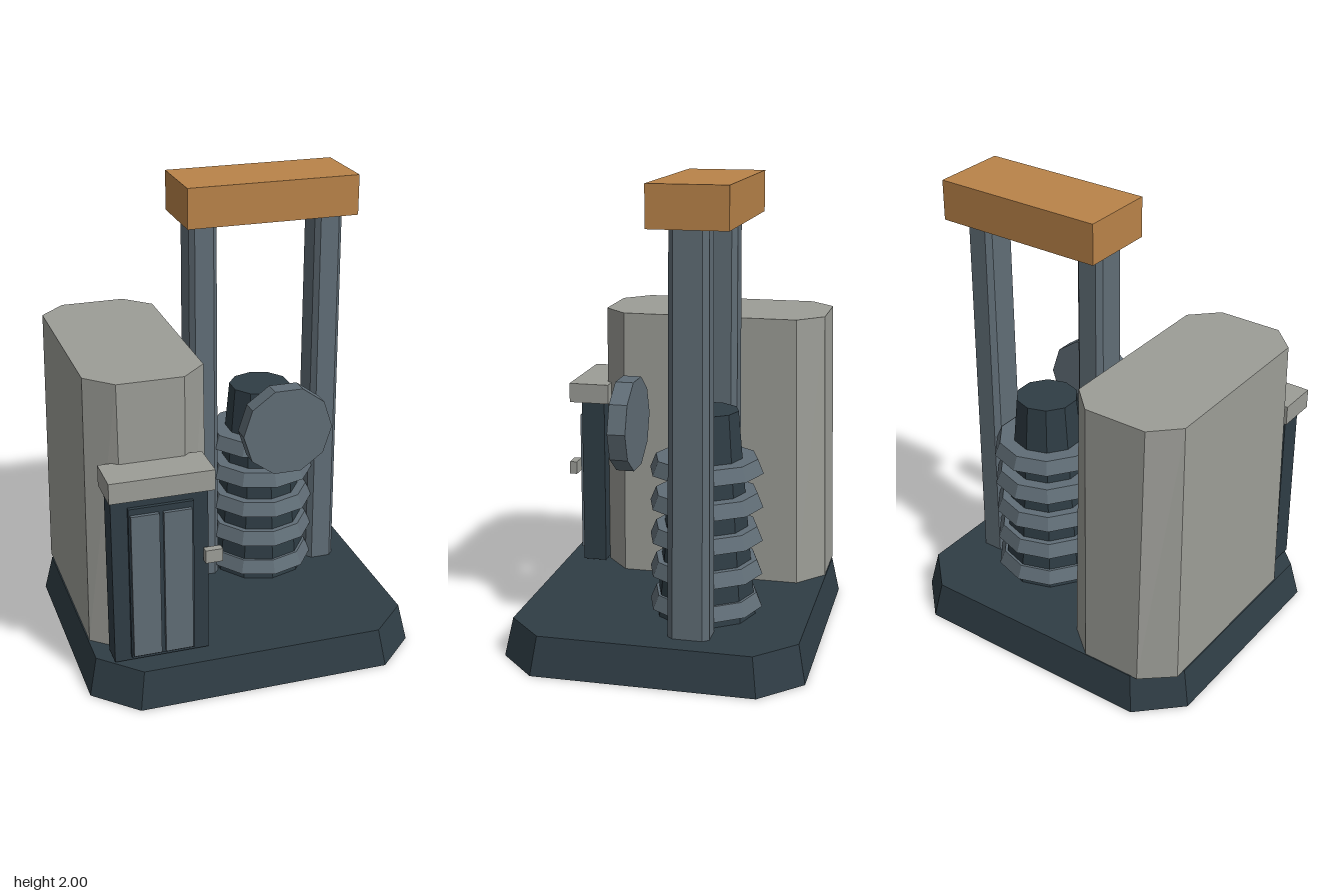
import * as THREE from 'three';

const mat = (name, color) => {
  const m = new THREE.MeshStandardMaterial({ color });
  m.name = name;
  return m;
};

// Flat facets: unshared vertices with face normals
function facet(geometry) {
  const g = geometry.index ? geometry.toNonIndexed() : geometry;
  g.computeVertexNormals();
  return g;
}

// Rectangle with cut corners, counter-clockwise seen from above
function cutRect(x0, x1, z0, z1, cx, cz) {
  return [
    [x1, z1 - cz], [x1, z0 + cz], [x1 - cx, z0], [x0 + cx, z0],
    [x0, z0 + cz], [x0, z1 - cz], [x0 + cx, z1], [x1 - cx, z1],
  ];
}

// Closed solid between two outlines at heights y0 and y1
function loft(bottom, top, y0, y1) {
  const n = bottom.length;
  const pos = [];
  const b = (i) => [bottom[i % n][0], y0, bottom[i % n][1]];
  const t = (i) => [top[i % n][0], y1, top[i % n][1]];
  for (let i = 0; i < n; i++) {
    pos.push(...b(i), ...b(i + 1), ...t(i + 1), ...b(i), ...t(i + 1), ...t(i));
    if (i > 0 && i < n - 1) {
      pos.push(...t(0), ...t(i), ...t(i + 1), ...b(0), ...b(i + 1), ...b(i));
    }
  }
  const g = new THREE.BufferGeometry();
  g.setAttribute('position', new THREE.Float32BufferAttribute(pos, 3));
  return facet(g);
}

// Box given by its limits on each axis
function box(x0, x1, y0, y1, z0, z1) {
  return new THREE.BoxGeometry(x1 - x0, y1 - y0, z1 - z0)
    .translate((x0 + x1) / 2, (y0 + y1) / 2, (z0 + z1) / 2);
}

export function createModel() {
  const model = new THREE.Group();
  model.name = 'powerStation';
  const dark = mat('darkSlate', 0x2f3d45);
  const steel = mat('steelGrey', 0x606d76);
  const pale = mat('paleGrey', 0x9c9d97);
  const copper = mat('copper', 0xb98349);

  const add = (name, geometry, material, parent = model) => {
    const mesh = new THREE.Mesh(geometry, material);
    mesh.name = name;
    parent.add(mesh);
    return mesh;
  };

  // Plinth with cut corners and sloping sides
  add('base', loft(
    cutRect(-0.72, 0.72, -0.64, 0.64, 0.175, 0.17),
    cutRect(-0.685, 0.685, -0.608, 0.608, 0.165, 0.16), 0, 0.163), dark);

  // Tall tank
  add('tank', loft(
    cutRect(-0.68, -0.157, -0.604, 0.415, 0.13, 0.11),
    cutRect(-0.667, -0.168, -0.577, 0.412, 0.11, 0.108), 0.16, 1.36), pale);

  // Control cabinet in front of the tank
  const cabinet = new THREE.Group();
  cabinet.name = 'cabinet';
  model.add(cabinet);
  add('cabinetBody', box(-0.62, -0.217, 0.175, 0.93, 0.415, 0.52), dark, cabinet);
  add('doorFrame', box(-0.552, -0.282, 0.195, 0.877, 0.515, 0.537), dark, cabinet);
  add('leftDoor', box(-0.41, -0.293, 0.207, 0.85, 0.53, 0.553), steel, cabinet);
  add('rightDoor', box(-0.546, -0.428, 0.207, 0.85, 0.53, 0.553), steel, cabinet);
  add('cabinetRoof', box(-0.637, -0.203, 0.93, 1.018, 0.392, 0.574), pale, cabinet);
  add('handle', box(-0.243, -0.17, 0.6, 0.657, 0.535, 0.568), pale, cabinet);

  // Gantry: two posts and a cross beam
  const gantry = new THREE.Group();
  gantry.name = 'gantry';
  model.add(gantry);
  for (const [name, x] of [['rightPost', -0.043], ['leftPost', 0.52]]) {
    add(name, loft(
      cutRect(x - 0.065, x + 0.065, -0.248, -0.073, 0.021, 0.025),
      cutRect(x - 0.061, x + 0.061, -0.24, -0.08, 0.02, 0.022), 0.16, 1.83), steel, gantry);
  }
  add('crossBeam', box(-0.138, 0.613, 1.828, 2, -0.328, 0), copper, gantry);

  // Insulator: tapered core with a stack of skirts
  const insulator = new THREE.Group();
  insulator.name = 'insulator';
  insulator.position.set(0.238, 0, -0.163);
  model.add(insulator);
  add('insulatorCore', facet(new THREE.CylinderGeometry(0.135, 0.215, 0.885, 10)
    .translate(0, 0.6025, 0)), dark, insulator);
  for (let i = 0; i < 5; i++) {
    const skirt = facet(new THREE.CylinderGeometry(0.218, 0.243, 0.06, 10));
    add('insulatorSkirt' + (i + 1), skirt, steel, insulator)
      .position.y = 0.228 + i * 0.1465;
  }

  // Upright disc in front of the insulator
  add('disc', facet(new THREE.CylinderGeometry(0.2, 0.2, 0.077, 10)
    .rotateY(Math.PI / 2).rotateX(Math.PI / 2).translate(0.238, 0.965, 0.173)), steel);

  return model;
}
